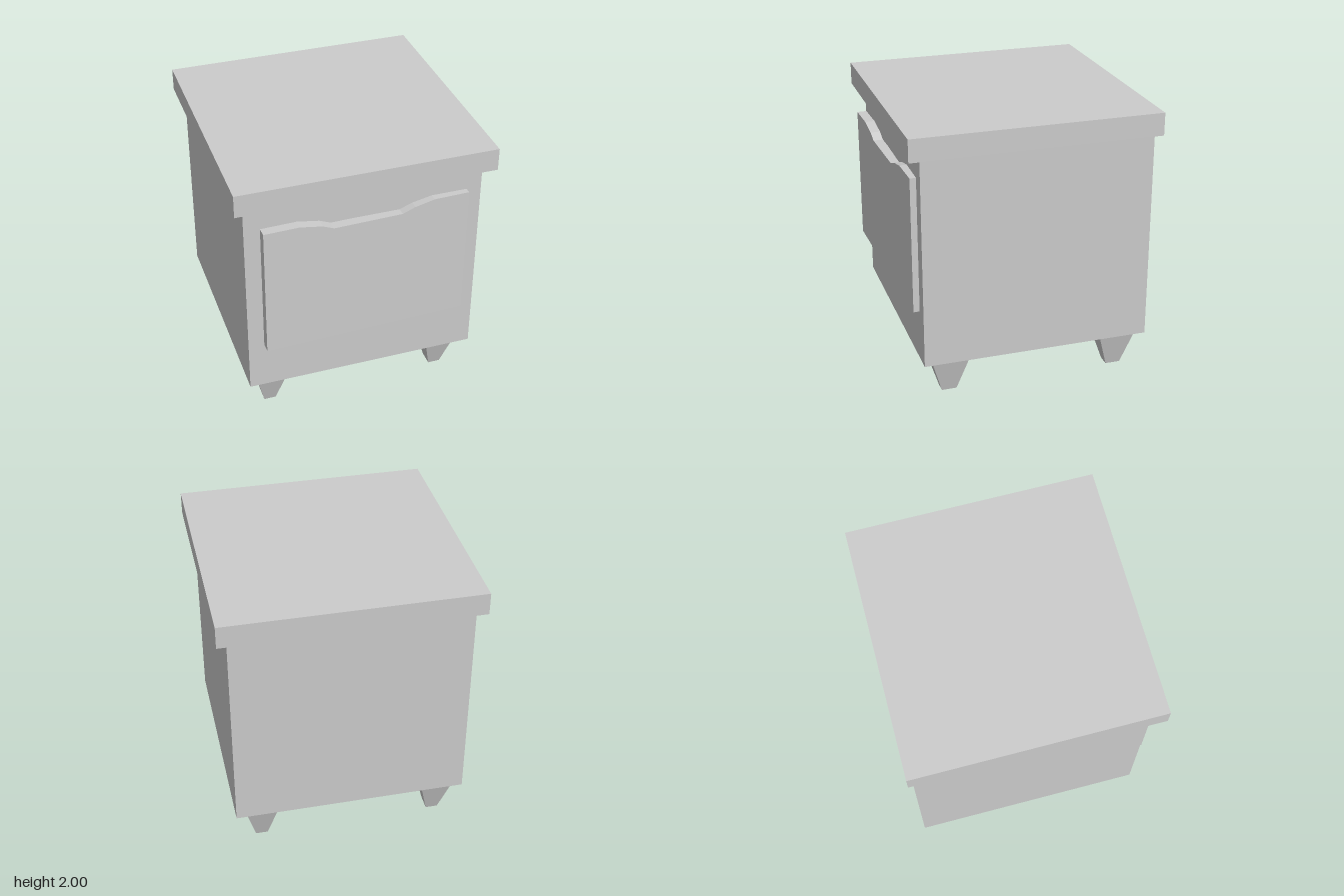
import * as THREE from 'three';

const material = new THREE.MeshStandardMaterial({ color: 0xcccccc, flatShading: true });

function addMesh(parent, name, geometry, x, y, z) {
  const mesh = new THREE.Mesh(geometry, material);
  mesh.name = name;
  mesh.position.set(x, y, z);
  parent.add(mesh);
  return mesh;
}

// Drawer front outline with a dipped finger grip along its top edge
function drawerFrontGeometry(depth) {
  const outline = [
    [-0.73, 0.68], [0.735, 0.68], [0.735, 1.665], [0.48, 1.665], [0.34, 1.635],
    [0.25, 1.6], [-0.24, 1.6], [-0.32, 1.635], [-0.48, 1.665], [-0.73, 1.665],
  ];
  const shape = new THREE.Shape(outline.map(([x, y]) => new THREE.Vector2(x, y)));
  return new THREE.ExtrudeGeometry(shape, { depth, bevelEnabled: false }).translate(0, 0, -depth);
}

// Square leg tapering towards the floor
function legGeometry(width, height, depth) {
  return new THREE.CylinderGeometry(Math.SQRT1_2, Math.SQRT1_2 * 0.38, 1, 4)
    .rotateY(Math.PI / 4)
    .scale(width, height, depth);
}

export function createModel() {
  const model = new THREE.Group();
  model.name = 'nightstand';

  // Cabinet and overhanging top
  addMesh(model, 'cabinetBody', new THREE.BoxGeometry(1.68, 1.54, 1.65), 0, 1.07, -0.025);
  addMesh(model, 'tableTop', new THREE.BoxGeometry(1.825, 0.162, 1.775), -0.002, 1.919, 0.002);

  // Drawer front, hung slightly askew so its -x end stands further out
  const drawer = addMesh(model, 'drawerFront', drawerFrontGeometry(0.07), 0, 0, 0.867);
  drawer.rotation.y = 0.031;

  // Four legs
  const leg = legGeometry(0.23, 0.288, 0.286);
  for (const [side, x] of [['Right', -0.658], ['Left', 0.645]]) {
    addMesh(model, 'front' + side + 'Leg', leg, x, 0.144, 0.588);
    addMesh(model, 'back' + side + 'Leg', leg, x, 0.144, -0.672);
  }
  return model;
}
